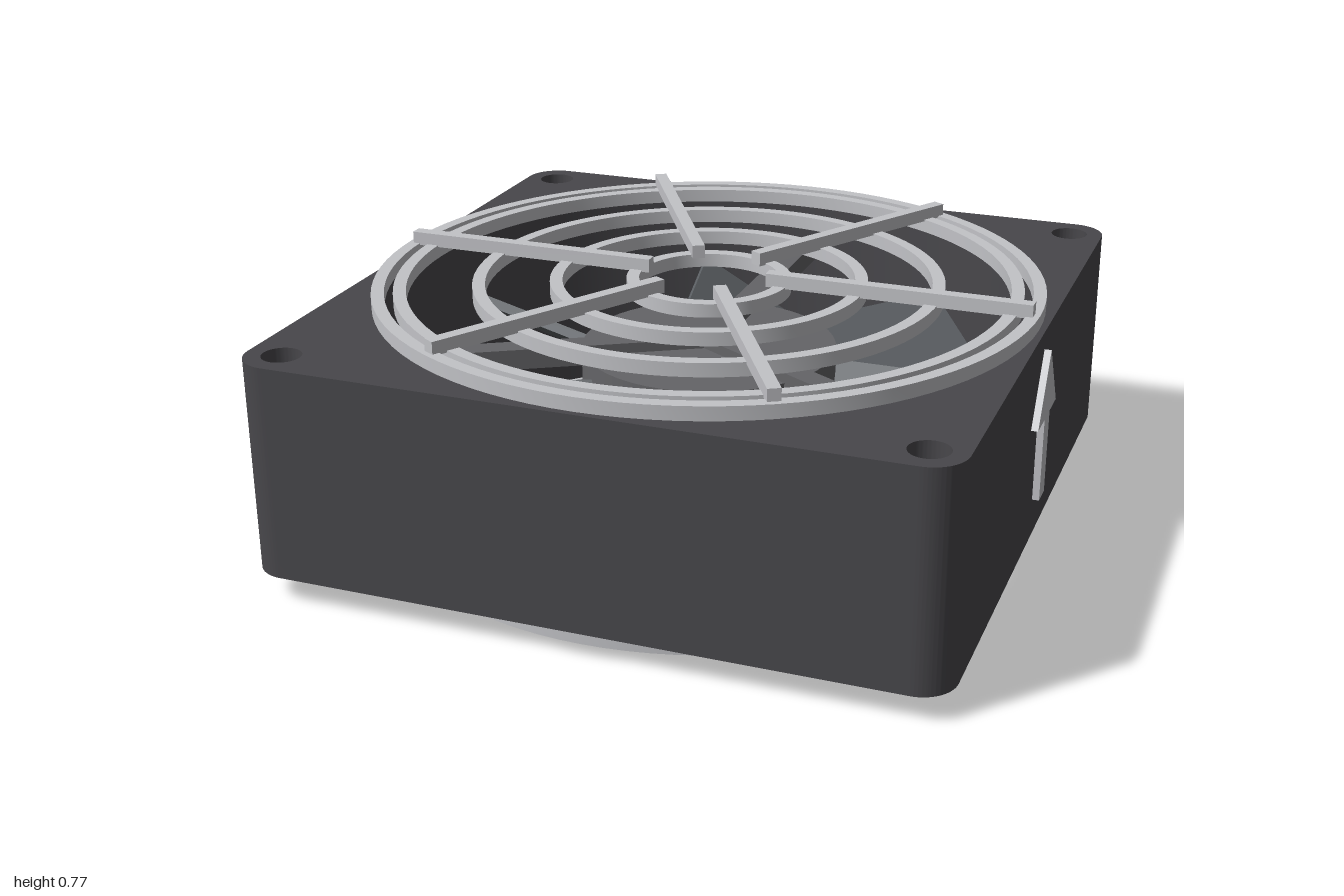
import * as THREE from 'three';
import { toCreasedNormals } from 'three/addons/utils/BufferGeometryUtils.js';

const CX = -0.01; // fan axis; the raised arrow takes up the rest of the width

const mat = (name, color) => {
  const m = new THREE.MeshStandardMaterial({ color });
  m.name = name;
  return m;
};

// Extrude a plan shape upwards from y0 to y1
function slab(shape, y0, y1, curveSegments = 48) {
  const g = new THREE.ExtrudeGeometry(shape, { depth: y1 - y0, bevelEnabled: false, curveSegments });
  g.rotateX(-Math.PI / 2);
  g.translate(0, y0, 0);
  return toCreasedNormals(g, 0.6);
}

const circle = (C, x, y, r) => new C().absarc(x, y, r, 0, Math.PI * 2, false);

export function createModel() {
  const model = new THREE.Group();
  model.name = 'coolingFan';
  const frameMat = mat('charcoal', 0x48474b);
  const fanMat = mat('slateGrey', 0x5e6266);
  const hubMat = mat('hubGrey', 0x646467);
  const metal = mat('silver', 0xc2c3c7);

  const add = (parent, name, geometry, material) => {
    const m = new THREE.Mesh(geometry, material);
    m.name = name;
    parent.add(m);
    return m;
  };

  const fan = new THREE.Group();
  fan.name = 'fanAssembly';
  fan.position.x = CX;
  model.add(fan);

  // Square frame with rounded corners, round bore and four screw holes
  const h = 0.99, r = 0.1, plan = new THREE.Shape();
  plan.absarc(h - r, h - r, r, 0, Math.PI / 2);
  plan.absarc(r - h, h - r, r, Math.PI / 2, Math.PI);
  plan.absarc(r - h, r - h, r, Math.PI, Math.PI * 1.5);
  plan.absarc(h - r, r - h, r, Math.PI * 1.5, Math.PI * 2);
  plan.closePath();
  plan.holes.push(circle(THREE.Path, 0, 0, 0.95));
  for (const sx of [-1, 1]) for (const sz of [-1, 1])
    plan.holes.push(circle(THREE.Path, sx * 0.888, sz * 0.888, 0.055));
  add(fan, 'frame', slab(plan, 0.08, 0.7, 32), frameMat);

  // Hub
  const hub = new THREE.CylinderGeometry(0.375, 0.375, 0.32, 48);
  hub.translate(0, 0.37, 0);
  add(fan, 'hub', hub, hubMat);

  // Seven pitched blades
  const blade = new THREE.BoxGeometry(0.58, 0.03, 0.325);
  blade.rotateX(0.58);
  blade.translate(0.64, 0.38, 0);
  for (let i = 0; i < 7; i++)
    add(fan, 'blade', blade, fanMat).rotation.y = (i / 7) * Math.PI * 2;

  // Three motor support arms
  const arm = new THREE.BoxGeometry(0.95, 0.06, 0.07);
  arm.translate(0.475, 0.53, 0);
  for (let i = 0; i < 3; i++)
    add(fan, 'supportArm', arm, hubMat).rotation.y = Math.PI / 2 + (i / 3) * Math.PI * 2;

  // Finger guards above and below: five flat rings and six radial bars
  for (const [name, ringY, barY] of [['topGuard', 0.7, 0.735], ['bottomGuard', 0.04, 0]]) {
    const guard = new THREE.Group();
    guard.name = name;
    fan.add(guard);
    for (const outer of [0.972, 0.91, 0.685, 0.462, 0.24]) {
      const ring = circle(THREE.Shape, 0, 0, outer);
      ring.holes.push(circle(THREE.Path, 0, 0, outer - 0.037));
      add(guard, 'guardRing', slab(ring, ringY, ringY + 0.04), metal);
    }
    const bar = new THREE.BoxGeometry(0.775, 0.04, 0.037);
    bar.translate(0.5675, barY + 0.02, 0);
    for (let i = 0; i < 6; i++)
      add(guard, 'guardBar', bar, metal).rotation.y = (i / 6) * Math.PI * 2;
  }

  // Raised airflow arrow on the left side
  const pts = [[-0.035, 0.2], [0.035, 0.2], [0.035, 0.45], [0.125, 0.45], [0, 0.645], [-0.125, 0.45], [-0.035, 0.45]];
  const arrow = new THREE.ExtrudeGeometry(
    new THREE.Shape(pts.map(([x, y]) => new THREE.Vector2(x, y))), { depth: 0.025, bevelEnabled: false });
  arrow.rotateY(Math.PI / 2);
  arrow.translate(0.975, 0, 0);
  add(model, 'airflowArrow', arrow, metal);

  return model;
}
